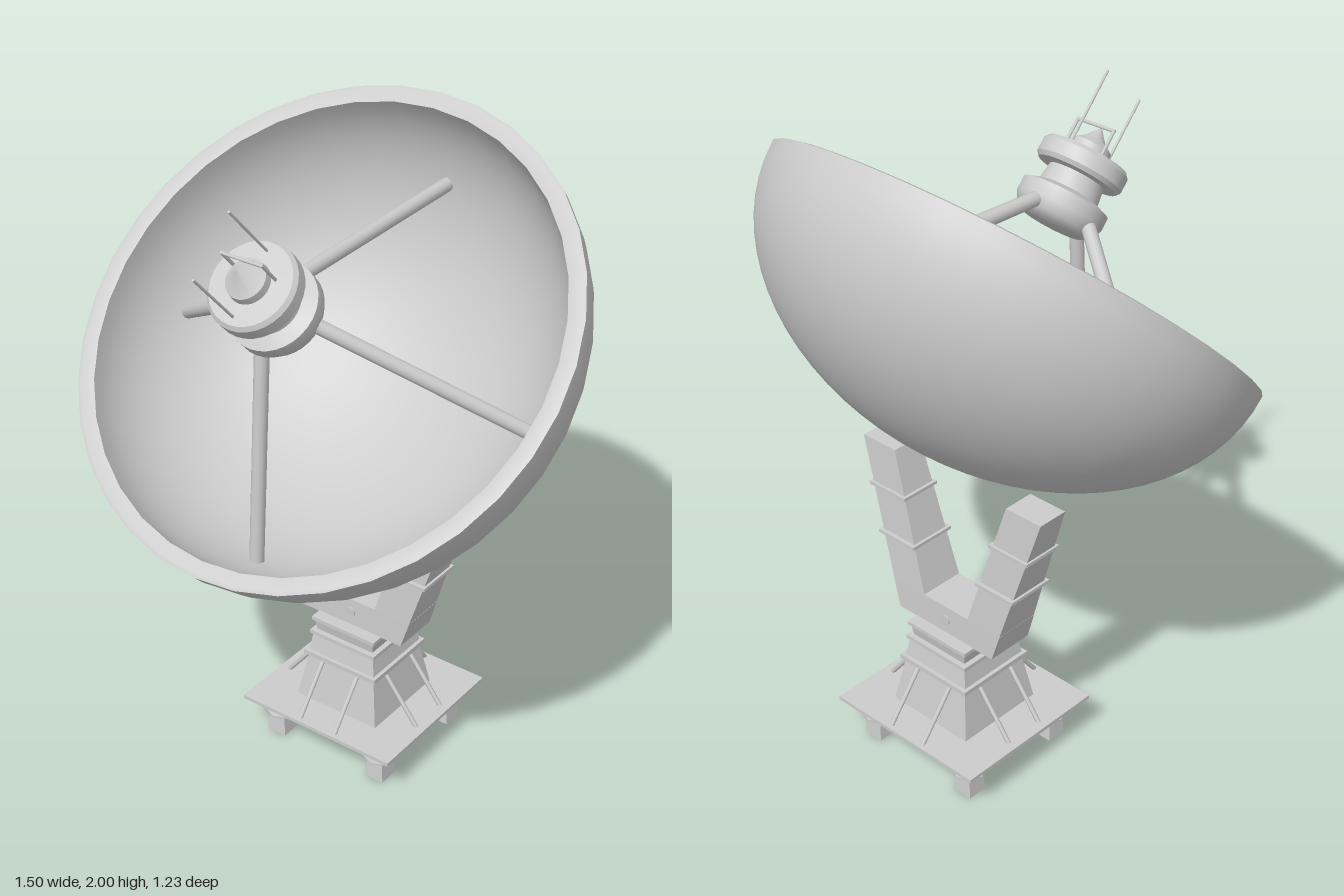
import * as THREE from 'three';
import { toCreasedNormals } from 'three/addons/utils/BufferGeometryUtils.js';

const material = new THREE.MeshStandardMaterial({ color: 0xcccccc, side: THREE.DoubleSide });
const V = (x, y, z) => new THREE.Vector3(x, y, z);

function add(parent, name, geometry, x = 0, y = 0, z = 0) {
  const mesh = new THREE.Mesh(geometry, material);
  mesh.name = name;
  mesh.position.set(x, y, z);
  parent.add(mesh);
  return mesh;
}

// Round rod between two points
function rod(parent, name, a, b, radius, sides = 12) {
  const mesh = add(parent, name, new THREE.CylinderGeometry(radius, radius, a.distanceTo(b), sides));
  mesh.position.copy(a).add(b).multiplyScalar(0.5);
  mesh.quaternion.setFromUnitVectors(V(0, 1, 0), b.clone().sub(a).normalize());
  return mesh;
}

// Tapered box; each end is [y, centre x, half width, half depth]
function taperedBox(bottom, top) {
  const geometry = new THREE.BoxGeometry(2, 2, 2);
  const p = geometry.attributes.position;
  for (let i = 0; i < p.count; i++) {
    const [y, cx, hx, hz] = p.getY(i) < 0 ? bottom : top;
    p.setXYZ(i, cx + p.getX(i) * hx, y, p.getZ(i) * hz);
  }
  geometry.computeVertexNormals();
  return geometry;
}

function lathe(points, segments = 32) {
  const geometry = new THREE.LatheGeometry(points.map(([r, y]) => new THREE.Vector2(r, y)), segments);
  return toCreasedNormals(geometry, 0.6);
}

function createBase() {
  const base = new THREE.Group();
  base.name = 'base';

  // Two-layer plate
  add(base, 'basePlate', new THREE.BoxGeometry(0.51, 0.014, 0.49), 0, 0.12, 0);
  add(base, 'basePlateTop', new THREE.BoxGeometry(0.55, 0.012, 0.52), 0, 0.132, 0);

  // Feet with a collar and a narrow bolt
  for (const sx of [-1, 1]) for (const sz of [-1, 1]) {
    const foot = new THREE.Group();
    foot.name = 'foot';
    foot.position.set(sx * 0.188, 0, sz * 0.175);
    add(foot, 'footBlock', taperedBox([0, 0, 0.033, 0.033], [0.07, 0, 0.027, 0.027]));
    add(foot, 'footCollar', new THREE.CylinderGeometry(0.052, 0.052, 0.006, 8), 0, 0.073);
    add(foot, 'footBolt', new THREE.CylinderGeometry(0.016, 0.026, 0.042, 12), 0, 0.095);
    base.add(foot);
  }

  // Stepped pedestal: [y, half width] pairs
  const steps = [
    [0.138, 0.148, 0.29, 0.122], [0.29, 0.134, 0.305, 0.134], [0.305, 0.122, 0.365, 0.112],
    [0.365, 0.12, 0.378, 0.12], [0.378, 0.103, 0.415, 0.11], [0.415, 0.116, 0.427, 0.116],
  ];
  for (const [y0, w0, y1, w1] of steps)
    add(base, 'pedestalTier', taperedBox([y0, 0, w0, w0], [y1, 0, w1, w1]));

  // Two diagonal braces on each side
  for (let i = 0; i < 4; i++) {
    const side = new THREE.Group();
    side.name = 'braces';
    side.rotation.y = i * Math.PI / 2;
    for (const x of [-0.065, 0.065])
      rod(side, 'brace', V(x, 0.135, 0.245), V(x, 0.295, 0.12), 0.007, 8);
    base.add(side);
  }
  return base;
}

function createYoke() {
  const yoke = new THREE.Group();
  yoke.name = 'yoke';
  add(yoke, 'yokeBridge', taperedBox([0.425, 0, 0.187, 0.077], [0.515, 0, 0.214, 0.073]));
  const pin = add(yoke, 'pivotPin', new THREE.CylinderGeometry(0.017, 0.017, 0.158, 16), 0, 0.47, 0);
  pin.rotation.x = Math.PI / 2;
  for (const s of [-1, 1]) {
    add(yoke, 'yokeArm', taperedBox([0.514, s * 0.15, 0.063, 0.073], [0.95, s * 0.281, 0.064, 0.05]));
    for (const [y, x, d] of [[0.662, 0.195, 0.155], [0.808, 0.238, 0.134]])
      add(yoke, 'armBand', new THREE.BoxGeometry(0.144, 0.01, d), s * x, y, 0);
  }
  return yoke;
}

// Dish opens along its own +y
function createDish() {
  const dish = new THREE.Group();
  dish.name = 'dish';
  const profile = [], n = 18;
  for (let i = 0; i <= n; i++) {
    const a = i / n * Math.PI / 2;
    profile.push([0.75 * Math.sin(a), -0.562 * Math.cos(a)]);
  }
  profile.push([0.738, 0.004], [0.7, -0.003]);
  for (let i = n - 1; i >= 0; i--) {
    const a = i / n * Math.PI / 2;
    profile.push([0.7 * Math.sin(a), -0.515 * Math.cos(a)]);
  }
  add(dish, 'reflector', lathe(profile, 36));

  // Four struts holding the feed
  const axis = 0.043;
  for (let i = 0; i < 4; i++) {
    const c = Math.cos(i * Math.PI / 2), s = Math.sin(i * Math.PI / 2);
    rod(dish, 'feedStrut', V(0.095 * c, 0.215, axis + 0.095 * s), V(0.605 * c, -0.25, 0.015 + 0.605 * s), 0.021);
  }

  // Feed: hub, neck, domed head with a pointed cap
  const feed = new THREE.Group();
  feed.name = 'feed';
  feed.position.z = axis;
  add(feed, 'feedBody', lathe([
    [0, 0.165], [0.09, 0.165], [0.115, 0.18], [0.13, 0.21], [0.13, 0.25], [0.09, 0.265], [0.083, 0.315],
    [0.12, 0.318], [0.13, 0.33], [0.13, 0.37], [0.12, 0.382], [0.06, 0.385], [0.058, 0.41], [0.03, 0.43], [0, 0.467],
  ]));

  // Long aerials and a short bracket on the head
  for (const z of [-0.095, 0.097])
    rod(feed, 'aerial', V(0, 0.33, z), V(0, 0.6, z), 0.004, 8);
  for (const x of [-0.065, 0.065])
    rod(feed, 'bracketPost', V(x, 0.37, -0.03), V(x, 0.465, -0.03), 0.005, 8);
  rod(feed, 'bracketBar', V(-0.068, 0.462, -0.03), V(0.068, 0.462, -0.03), 0.005, 8);
  dish.add(feed);
  return dish;
}

export function createModel() {
  const model = new THREE.Group();
  model.name = 'dishAntenna';

  const mount = new THREE.Group();
  mount.name = 'mount';
  mount.position.z = -0.16;
  mount.add(createBase(), createYoke());

  const dish = createDish();
  dish.position.set(0, 1.495, 0.065);
  dish.rotation.x = 0.738;

  model.add(mount, dish);
  return model;
}
